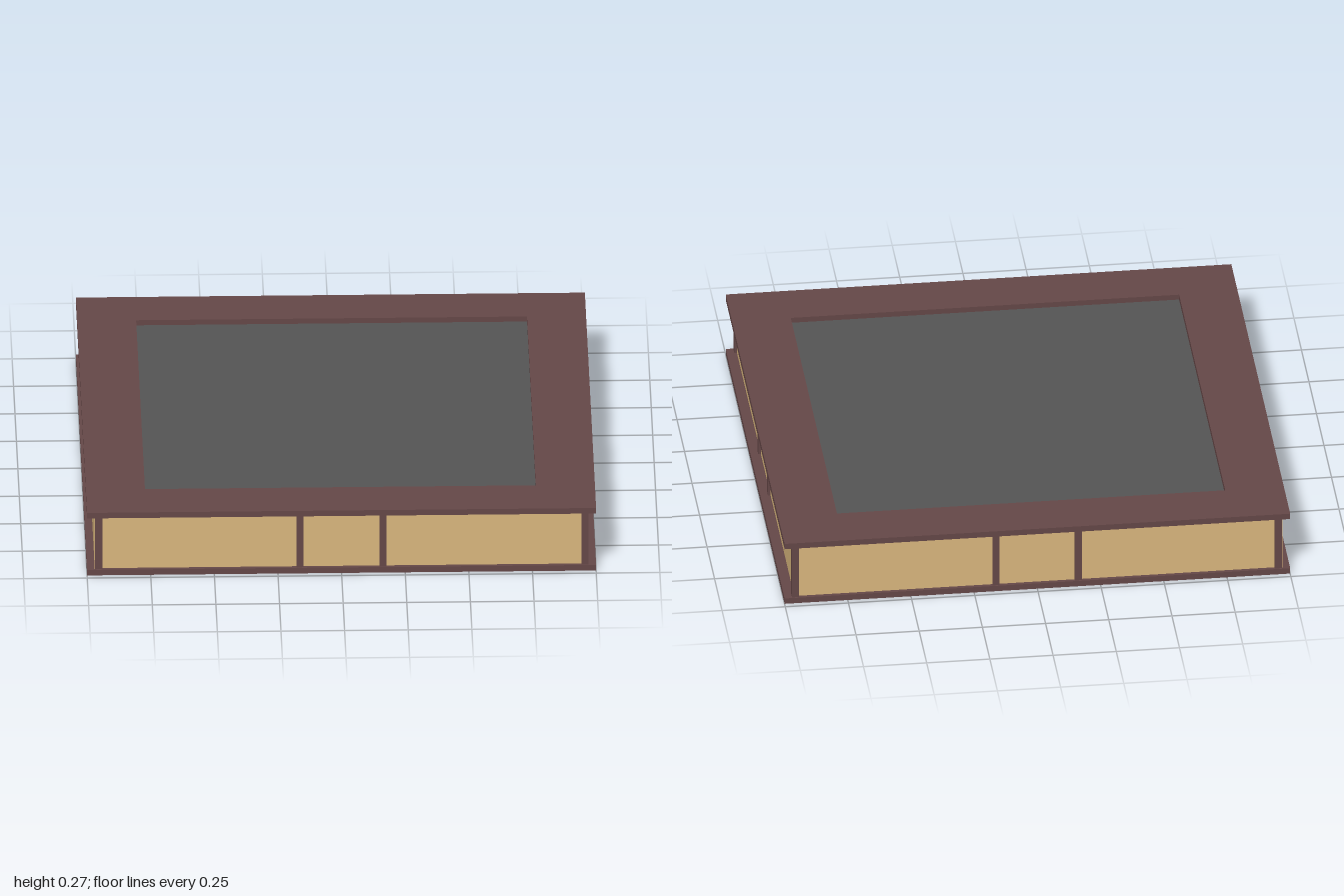
import * as THREE from 'three';

const brown = new THREE.MeshStandardMaterial({ color: 0x664848 });
const tan = new THREE.MeshStandardMaterial({ color: 0xdcb97f });
const slate = new THREE.MeshStandardMaterial({ color: 0x555555 });
const grey = new THREE.MeshStandardMaterial({ color: 0xcccccc });

export function createModel() {
  const model = new THREE.Group();

  // Box given by its lower and upper corners
  const box = (name, material, [x0, y0, z0], [x1, y1, z1]) => {
    const mesh = new THREE.Mesh(new THREE.BoxGeometry(x1 - x0, y1 - y0, z1 - z0), material);
    mesh.position.set((x0 + x1) / 2, (y0 + y1) / 2, (z0 + z1) / 2);
    mesh.name = name;
    model.add(mesh);
    return mesh;
  };

  // Flat rectangular frame with a square opening
  const frame = (name, y, height) => {
    const rectangle = (path, w, d) =>
      path.moveTo(-w, -d).lineTo(w, -d).lineTo(w, d).lineTo(-w, d).closePath();
    const shape = rectangle(new THREE.Shape(), 1, 0.98);
    shape.holes.push(rectangle(new THREE.Path(), 0.768, 0.768));
    const geometry = new THREE.ExtrudeGeometry(shape, { depth: height, bevelEnabled: false });
    geometry.rotateX(-Math.PI / 2);
    const mesh = new THREE.Mesh(geometry, brown);
    mesh.position.y = y;
    mesh.name = name;
    model.add(mesh);
  };
  frame('bottomFrame', 0.002, 0.024);
  frame('topFrame', 0.25, 0.024);

  // Floor and recessed roof plates
  box('floorPlate', slate, [-0.768, 0.003, -0.768], [0.768, 0.02, 0.768]);
  box('roofPlate', slate, [-0.8, 0.24, -0.8], [0.8, 0.252, 0.8]);

  // Wall panels, the one at -x plain and flush with the corner posts
  const low = 0.026, high = 0.25;
  box('frontWall', tan, [-0.965, low, 0.94], [0.96, high, 0.965]);
  box('backWall', tan, [-0.965, low, -0.965], [0.96, high, -0.94]);
  box('rightWall', tan, [0.935, low, -0.965], [0.96, high, 0.965]);
  box('leftWall', tan, [-0.97, low, -0.972], [-0.945, high, 0.972]);

  // Posts on the front and back walls
  for (const side of [-1, 1]) {
    for (const x of [-0.954, -0.163, 0.163, 0.956]) {
      box('wallPost', brown, [x - 0.014, low, side * 0.96 - 0.015], [x + 0.014, high, side * 0.96 + 0.015]);
    }
  }
  // Middle posts on the right wall
  for (const z of [-0.16, 0.165]) {
    box('rightWallPost', brown, [0.94, low, z - 0.015], [0.97, high, z + 0.015]);
  }

  // Thin strips and pads under the floor: x and z ranges
  const under = (name, x0, x1, z0, z1) =>
    box(name, grey, [x0, 0, z0], [x1, 0.004, z1]);
  const w = 0.006;
  for (const side of [-1, 1]) {
    const span = (a, b) => (side > 0 ? [a, b] : [-b, -a]);
    under('crossStrip', ...span(0.3, 0.66), 0.09 - w, 0.09 + w);
    under('lengthStrip', ...span(0.412 - w, 0.412 + w), 0.1, 0.58);
    under('floorPad', ...span(0.165, 0.29), -0.14, 0);
    for (const [x, z] of [[0.12, 0.28], [0.28, 0.28], [0.2, 0.12]]) {
      under('stud', ...span(x - 0.01, x + 0.01), z - 0.01, z + 0.01);
    }
  }
  under('longStrip', -0.47, 0.51, 0.41 - w, 0.41 + w);
  under('shortStrip', 0, 0.24, 0.16 - w, 0.16 + w);
  under('sideStrip', -0.65, -0.44, -0.1 - w / 2, -0.1 + w / 2);
  return model;
}
